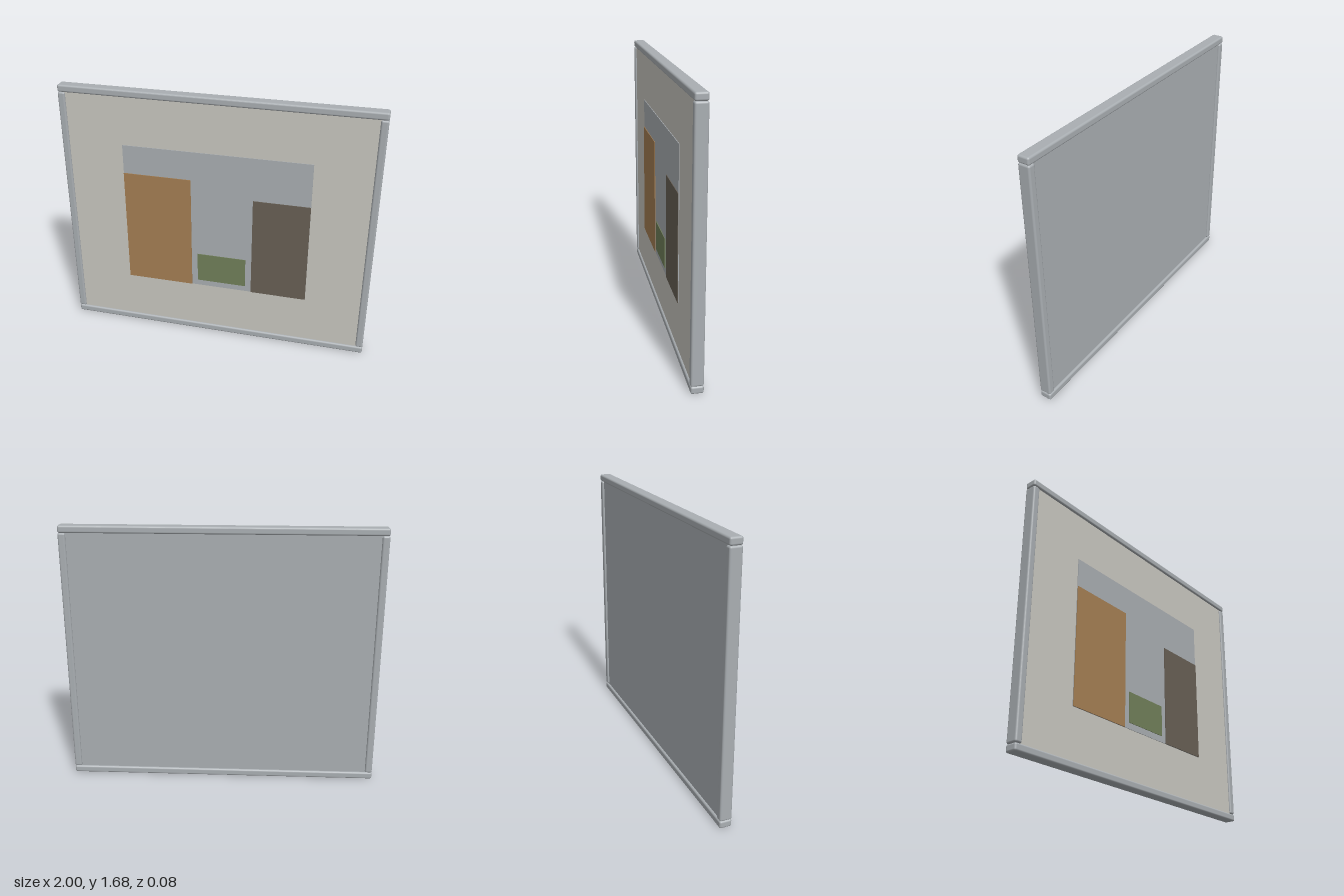
import * as THREE from 'three';
import { RoundedBoxGeometry } from 'three/addons/geometries/RoundedBoxGeometry.js';

const material = (name, color) => {
  const m = new THREE.MeshStandardMaterial({ color });
  m.name = name;
  return m;
};

export function createModel() {
  const group = new THREE.Group();
  group.name = 'framedPicture';

  const grey = material('metalGrey', 0xa9aeb2);
  const cream = material('matCream', 0xc9c7c0);
  const tan = material('tan', 0xa57f53);
  const brown = material('darkBrown', 0x686055);
  const green = material('mossGreen', 0x71805a);

  const add = (name, geometry, mat, x, y, z) => {
    const mesh = new THREE.Mesh(geometry, mat);
    mesh.name = name;
    mesh.position.set(x, y, z);
    group.add(mesh);
  };

  // Rounded frame bars: rails along top and bottom, stiles between them
  const H = 1.68, BAR = 0.046, DEPTH = 0.076;
  const rail = new RoundedBoxGeometry(2, BAR, DEPTH, 3, 0.012);
  const stile = new RoundedBoxGeometry(BAR, H - 2 * BAR, DEPTH, 3, 0.012);
  add('bottomRail', rail, grey, 0, BAR / 2, 0);
  add('topRail', rail, grey, 0, H - BAR / 2, 0);
  for (const side of [-1, 1]) {
    add(side > 0 ? 'leftStile' : 'rightStile', stile, grey, side * (1 - BAR / 2), H / 2, 0);
  }

  // Backing board and mat, slightly recessed in the frame
  const w = 1.92, h = H - 0.08;
  add('backBoard', new THREE.BoxGeometry(w, h, 0.045), grey, 0, H / 2, -0.0025);
  add('mat', new THREE.BoxGeometry(w, h, 0.006), cream, 0, H / 2, 0.023);

  // Picture: thin plates given by their left, right, bottom and top edges
  const plate = (name, mat, x0, x1, y0, y1, back, front) =>
    add(name, new THREE.BoxGeometry(x1 - x0, y1 - y0, front - back), mat,
      (x0 + x1) / 2, (y0 + y1) / 2, (back + front) / 2);
  plate('pictureGround', grey, -0.6, 0.6, 0.36, 1.32, 0.026, 0.03);
  plate('tallBlock', tan, -0.6, -0.16, 0.36, 1.13, 0.03, 0.034);
  plate('darkBlock', brown, 0.24, 0.6, 0.36, 1.035, 0.03, 0.034);
  plate('lowBlock', green, -0.12, 0.2, 0.4, 0.6, 0.03, 0.034);

  return group;
}
